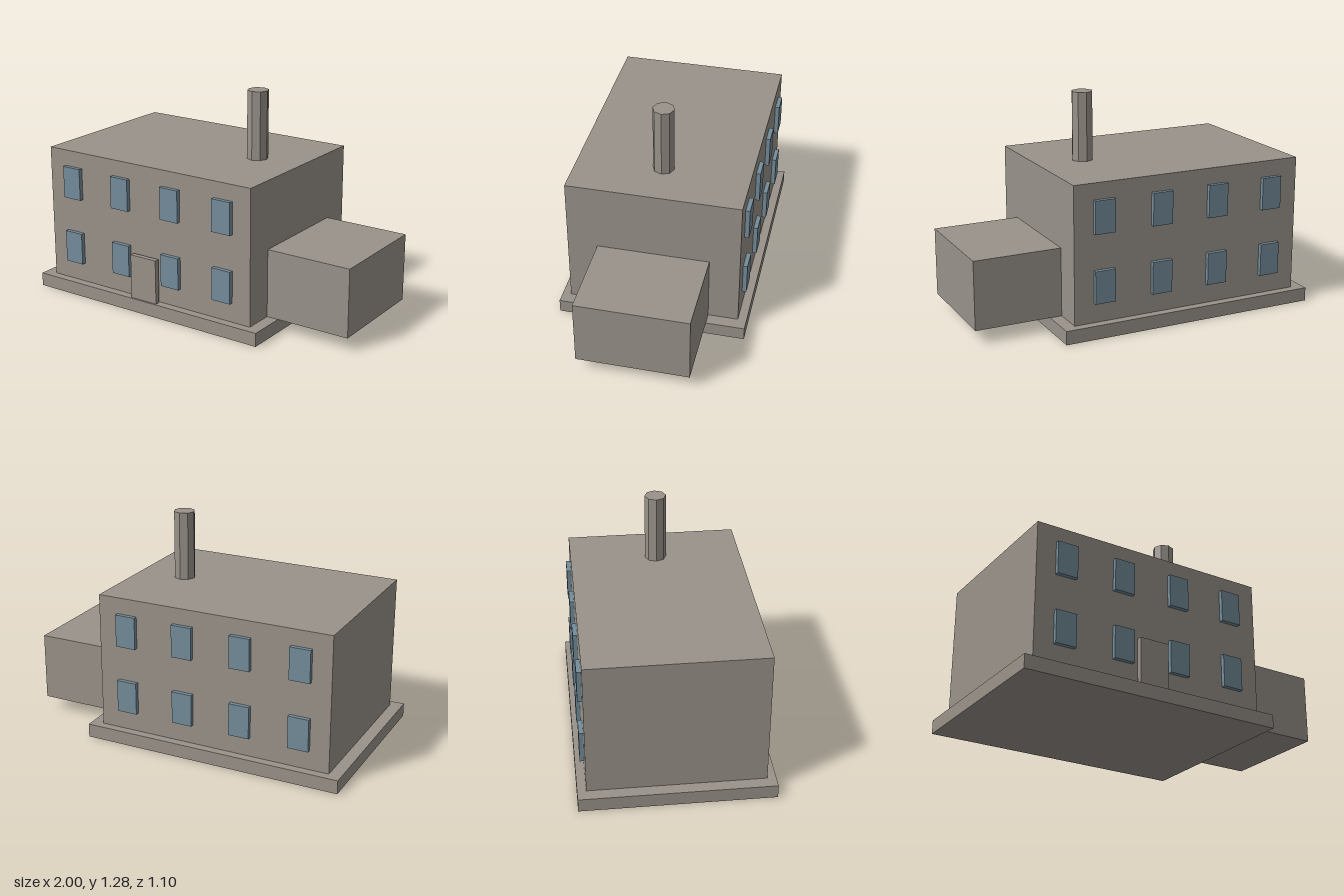
import * as THREE from 'three';

const concrete = new THREE.MeshStandardMaterial({ color: 0x99928a, flatShading: true });
concrete.name = 'concrete';
const glass = new THREE.MeshStandardMaterial({ color: 0x748d9b, flatShading: true });
glass.name = 'window glass';

// Box given by its limits on each axis
function box(name, material, [x0, x1], [y0, y1], [z0, z1]) {
  const mesh = new THREE.Mesh(new THREE.BoxGeometry(x1 - x0, y1 - y0, z1 - z0), material);
  mesh.position.set((x0 + x1) / 2, (y0 + y1) / 2, (z0 + z1) / 2);
  mesh.name = name;
  return mesh;
}

export function createModel() {
  const model = new THREE.Group();
  model.name = 'factoryBuilding';

  // Plinth, main block and side annex overhanging the plinth
  model.add(
    box('plinth', concrete, [-1, 0.558], [0, 0.08], [-0.55, 0.55]),
    box('mainBlock', concrete, [-0.929, 0.487], [0.08, 0.88], [-0.5, 0.5]),
    box('annex', concrete, [0.487, 1], [0.08, 0.48], [-0.325, 0.325]),
    box('door', concrete, [-0.31, -0.132], [0.08, 0.345], [0.51, 0.54]),
  );

  // Eight-sided chimney
  const chimney = new THREE.Mesh(new THREE.CylinderGeometry(0.062, 0.062, 0.4, 8), concrete);
  chimney.position.set(0.204, 1.08, 0);
  chimney.name = 'chimney';
  model.add(chimney);

  // Two rows of four windows on the front and back walls
  const windows = new THREE.Group();
  windows.name = 'windows';
  for (const side of [1, -1]) {
    for (const y of [0.29, 0.69]) {
      for (let i = 0; i < 4; i++) {
        const x = -0.753 + i * 0.354;
        const z = side > 0 ? [0.495, 0.525] : [-0.525, -0.495];
        windows.add(box('window', glass, [x - 0.061, x + 0.061], [y - 0.095, y + 0.095], z));
      }
    }
  }
  model.add(windows);
  return model;
}
